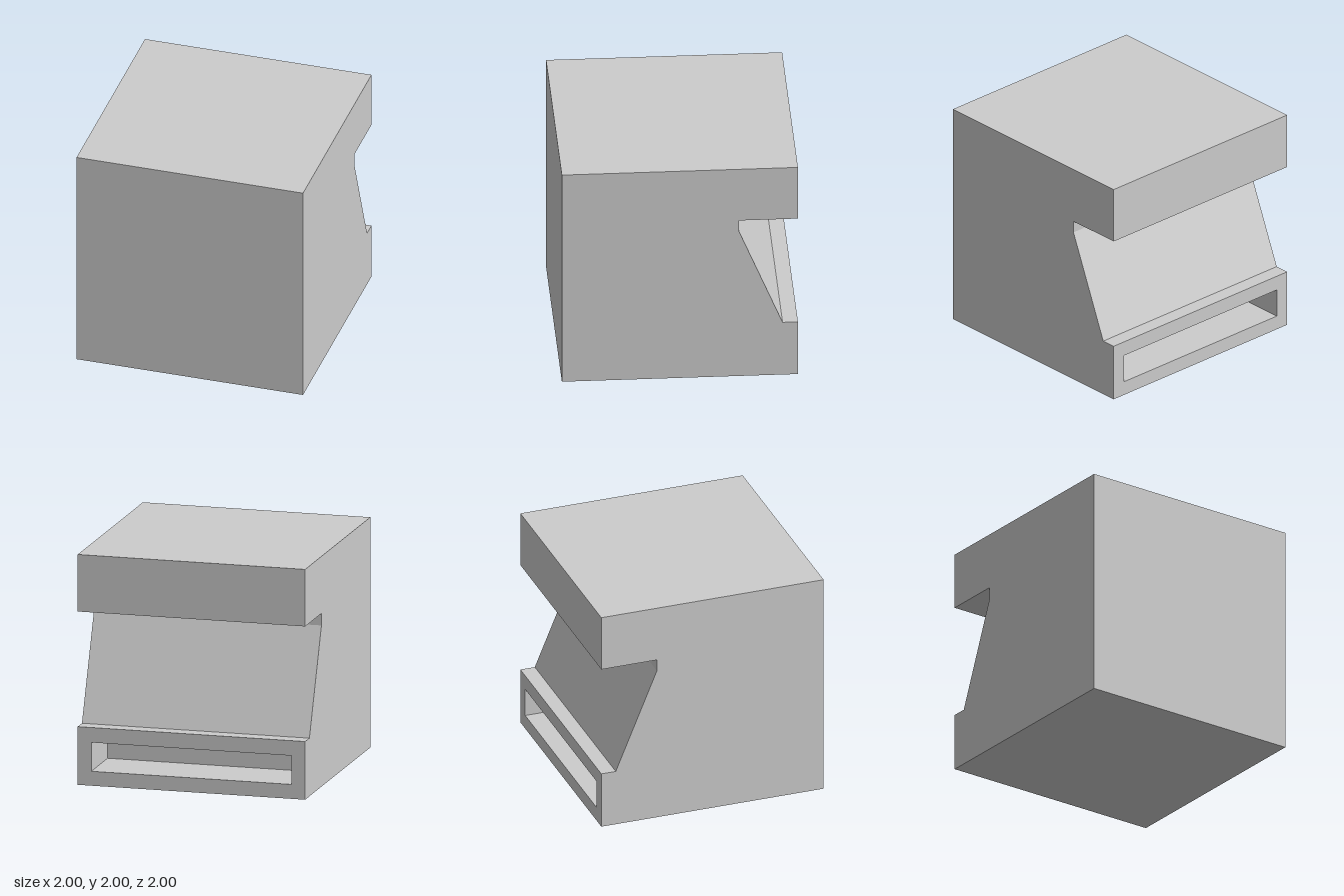
import * as THREE from 'three';

const material = new THREE.MeshStandardMaterial({ color: 0xcccccc, flatShading: true });

function addMesh(parent, name, geometry) {
  const mesh = new THREE.Mesh(geometry, material);
  mesh.name = name;
  parent.add(mesh);
}

// Sweeps an open (z, y) outline across x and closes both ends.
// Anticlockwise outlines face outward; clockwise ones, with inward set, form a recess.
function addShell(parent, name, outline, halfWidth, inward = false) {
  const w = halfWidth;
  const positions = [];
  for (let i = 0; i < outline.length - 1; i++) {
    const [z0, y0] = outline[i];
    const [z1, y1] = outline[i + 1];
    positions.push(-w, y0, z0, w, y0, z0, w, y1, z1);
    positions.push(-w, y0, z0, w, y1, z1, -w, y1, z1);
  }
  const skin = new THREE.BufferGeometry();
  skin.setAttribute('position', new THREE.Float32BufferAttribute(positions, 3));
  skin.computeVertexNormals();
  addMesh(parent, name + 'Skin', skin);

  for (const facing of [-1, 1]) {
    const shape = new THREE.Shape(outline.map(([z, y]) => new THREE.Vector2(-facing * z, y)));
    const side = new THREE.ShapeGeometry(shape);
    side.rotateY(facing * Math.PI / 2);
    const x = inward ? -facing * w : facing * w;
    side.translate(x, 0, 0);
    addMesh(parent, name + (x > 0 ? 'LeftSide' : 'RightSide'), side);
  }
}

function rectangle(PathType, halfWidth, y0, y1) {
  return new PathType([[-1, y0], [1, y0], [1, y1], [-1, y1]]
    .map(([s, y]) => new THREE.Vector2(s * halfWidth, y)));
}

export function createModel() {
  const group = new THREE.Group();
  group.name = 'cabinet';

  // Cabinet body with an overhanging top and sloped panel; open at the lower back
  const body = new THREE.Group();
  body.name = 'body';
  addShell(body, 'body', [
    [-1, 0], [1, 0], [1, 2], [-1, 2], [-1, 1.505],
    [-0.5, 1.505], [-0.5, 1.4], [-0.87, 0.505], [-1, 0.505],
  ], 1);
  group.add(body);

  // Lower back frame around the slot
  const frame = rectangle(THREE.Shape, 1, 0, 0.505);
  frame.holes.push(rectangle(THREE.Path, 0.88, 0.125, 0.375));
  const frameGeometry = new THREE.ShapeGeometry(frame);
  frameGeometry.rotateY(Math.PI);
  frameGeometry.translate(0, 0, -1);
  addMesh(group, 'slotFrame', frameGeometry);

  // Recessed tray behind the slot
  const tray = new THREE.Group();
  tray.name = 'tray';
  addShell(tray, 'tray', [[-1, 0.375], [-0.5, 0.375], [-0.5, 0.125], [-1, 0.125]], 0.88, true);
  group.add(tray);

  return group;
}
